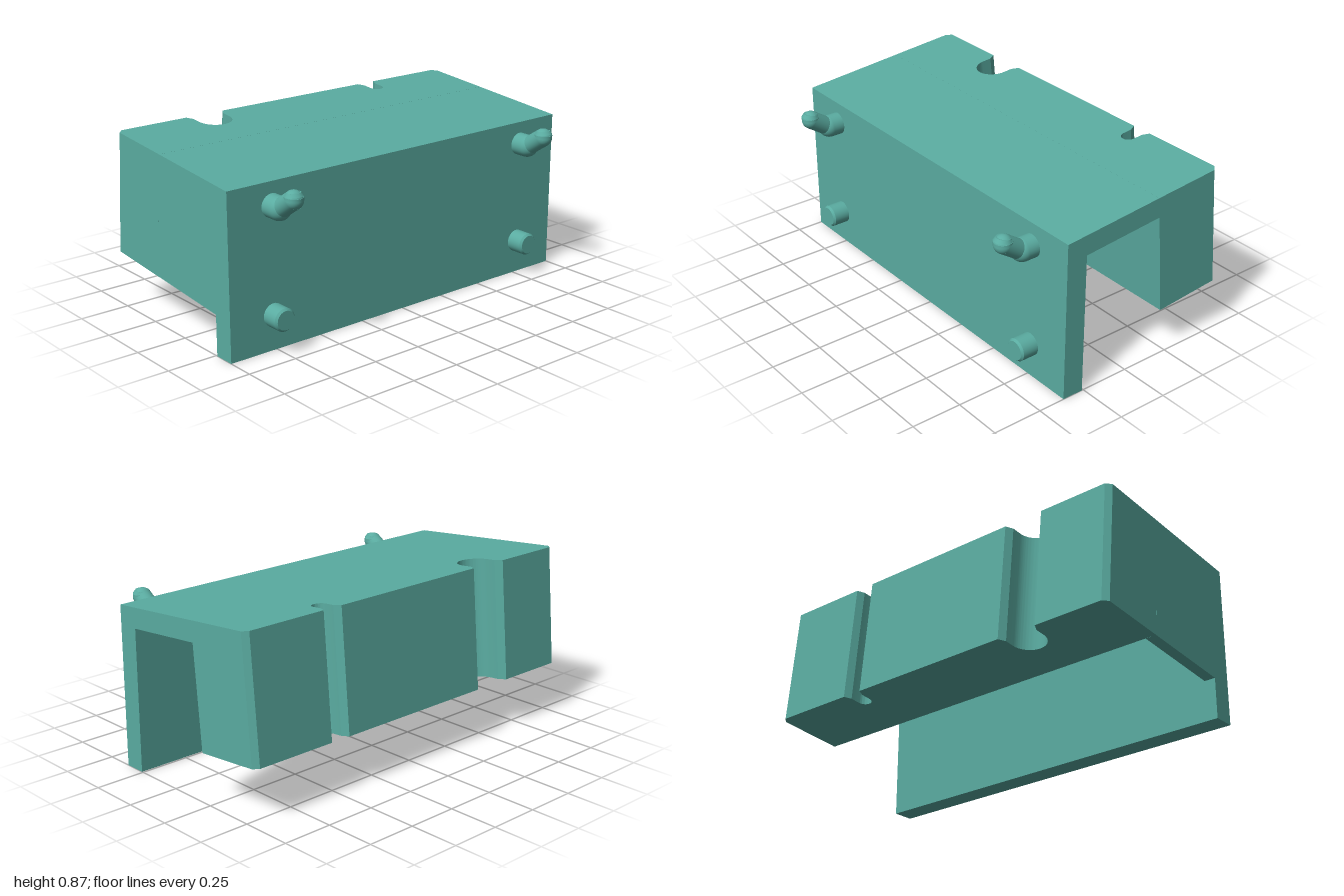
import * as THREE from 'three';
import { toCreasedNormals } from 'three/addons/utils/BufferGeometryUtils.js';

const material = new THREE.MeshStandardMaterial({ color: 0x5aaca1 });
const TILT = THREE.MathUtils.degToRad(5);

function add(parent, name, geometry) {
  const mesh = new THREE.Mesh(geometry, material);
  mesh.name = name;
  parent.add(mesh);
  return mesh;
}

// Extrudes a side profile of [z, y] points from x0 to x1
function sideExtrude(points, x0, x1) {
  const shape = new THREE.Shape(points.map(([z, y]) => new THREE.Vector2(-z, y)));
  const geometry = new THREE.ExtrudeGeometry(shape, { depth: x1 - x0, bevelEnabled: false });
  return geometry.rotateY(Math.PI / 2).translate(x0, 0, 0);
}

// Footprint of the rear block, back edge at y = 0, with round-bottomed notches
function blockFootprint(depth, notches) {
  const shape = new THREE.Shape();
  shape.moveTo(-1, -depth);
  shape.lineTo(1, -depth);
  shape.lineTo(1, -0.025);
  shape.lineTo(0.975, 0);
  for (const { x, r, mouth, deep } of notches) {
    shape.lineTo(x + mouth, 0);
    shape.lineTo(x + r, -0.035);
    shape.lineTo(x + r, r - deep);
    shape.absarc(x, r - deep, r, 0, -Math.PI, true);
    shape.lineTo(x - r, -0.035);
    shape.lineTo(x - mouth, 0);
  }
  shape.lineTo(-0.975, 0);
  shape.lineTo(-1, -0.025);
  shape.closePath();
  return shape;
}

// Rod between two [z, y] points at x = 0
function rod(parent, name, a, b, r0, r1) {
  const start = new THREE.Vector3(0, a[1], a[0]);
  const end = new THREE.Vector3(0, b[1], b[0]);
  const dir = end.clone().sub(start);
  const mesh = add(parent, name, new THREE.CylinderGeometry(r1, r0, dir.length(), 32));
  mesh.position.copy(start).add(end).multiplyScalar(0.5);
  mesh.quaternion.setFromUnitVectors(new THREE.Vector3(0, 1, 0), dir.normalize());
}

function ball(parent, name, [z, y], r) {
  add(parent, name, new THREE.SphereGeometry(r, 32, 20)).position.set(0, y, z);
}

export function createModel() {
  const model = new THREE.Group();
  model.name = 'hangingToolHolder';

  // Front plate with the sloping top slab
  add(model, 'plateAndTop', sideExtrude([
    [0.365, 0], [0.365, 0.79], [-0.153, 0.836], [-0.162, 0.737], [0.258, 0.70], [0.258, 0],
  ], -1, 1));

  // Wall closing one end of the channel
  add(model, 'endWall', sideExtrude([
    [0.258, 0.198], [0.258, 0.70], [-0.162, 0.737], [-0.205, 0.2385],
  ], -1, -0.945));

  // Tilted rear block with a wide and a narrow notch
  const footprint = blockFootprint(0.361, [
    { x: 0.507, r: 0.036, mouth: 0.053, deep: 0.12 },
    { x: -0.513, r: 0.086, mouth: 0.105, deep: 0.17 },
  ]);
  const blockGeometry = new THREE.ExtrudeGeometry(footprint, {
    depth: 0.6, bevelEnabled: false, curveSegments: 32,
  }).rotateX(-Math.PI / 2);
  const block = add(model, 'rearBlock', toCreasedNormals(blockGeometry, 0.4));
  block.position.set(0, 0.27, -0.565);
  block.rotation.x = TILT;

  // Pegs on the front: straight ones below, upturned hooks above
  for (const x of [-0.765, 0.765]) {
    const peg = new THREE.Group();
    peg.name = 'lowerPeg';
    peg.position.x = x;
    rod(peg, 'pegShaft', [0.36, 0.17], [0.445, 0.17], 0.055, 0.055);
    rod(peg, 'pegChamfer', [0.445, 0.17], [0.455, 0.17], 0.055, 0.046);

    const hook = new THREE.Group();
    hook.name = 'upperHook';
    hook.position.x = x;
    rod(hook, 'hookShaft', [0.36, 0.68], [0.42, 0.68], 0.055, 0.055);
    ball(hook, 'hookElbow', [0.42, 0.68], 0.055);
    rod(hook, 'hookArm', [0.425, 0.679], [0.522, 0.744], 0.045, 0.045);
    ball(hook, 'hookBend', [0.522, 0.744], 0.045);
    rod(hook, 'hookTip', [0.522, 0.744], [0.523, 0.76], 0.045, 0.044);
    rod(hook, 'hookTipChamfer', [0.523, 0.76], [0.521, 0.777], 0.044, 0.034);
    model.add(peg, hook);
  }
  return model;
}
